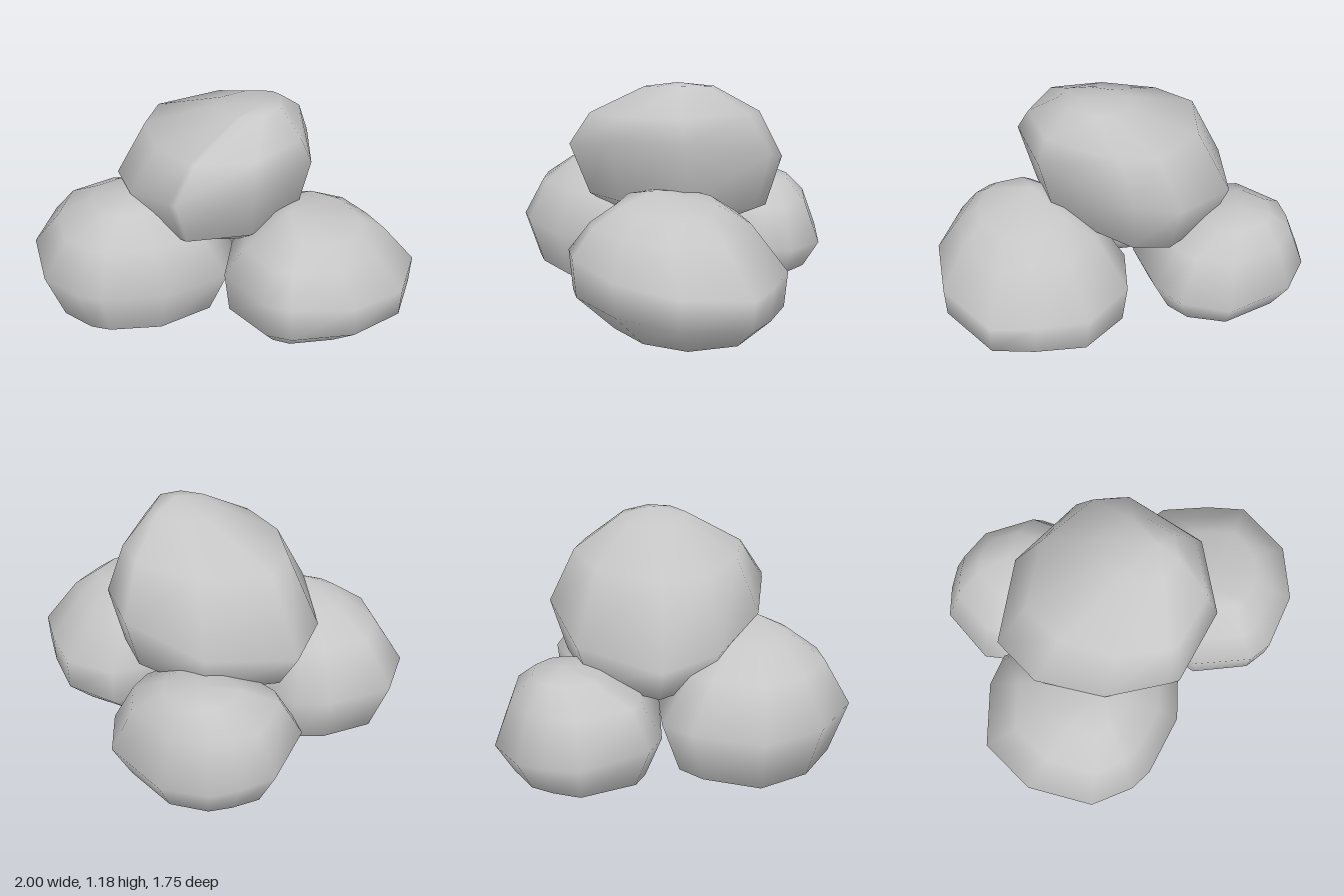
import * as THREE from 'three';

// Each rock: widest outline [x, z] (counter-clockwise from above), its centre, the
// bottom and top points [x, y, z], and levels from bottom to top:
// [scale, centreX, centreZ, y, slopeX, slopeZ]
const rocks = {
  frontRock: {
    centre: [-0.42, 0.42],
    outline: [[-1, 0.34], [-0.88, 0.64], [-0.61, 0.86], [-0.38, 0.87], [-0.26, 0.83], [0, 0.63], [0.16, 0.31],
      [0.08, 0.08], [-0.2, -0.05], [-0.55, -0.08], [-0.73, -0.09], [-0.86, 0.03]],
    levels: [[0.64, -0.36, 0.37, 0.01, 0, 0.03], [0.82, -0.42, 0.42, 0.06, 0, 0], [1, -0.42, 0.42, 0.33, -0.02, 0],
      [0.72, -0.4, 0.43, 0.54, 0, 0], [0.38, -0.39, 0.42, 0.66, 0.03, 0]],
    bottom: [-0.36, 0, 0.37], top: [-0.33, 0.73, 0.43],
  },
  backRock: {
    centre: [-0.46, -0.46],
    outline: [[-0.93, -0.49], [-0.83, -0.16], [-0.72, -0.09], [-0.3, -0.05], [-0.05, -0.2],
      [0.02, -0.5], [-0.02, -0.66], [-0.2, -0.84], [-0.57, -0.88], [-0.78, -0.77], [-0.86, -0.65]],
    levels: [[0.6, -0.46, -0.46, 0.01, 0, 0], [0.8, -0.46, -0.46, 0.04, 0, 0], [1, -0.46, -0.46, 0.23, 0, 0.08],
      [0.77, -0.47, -0.47, 0.43, 0, 0.02], [0.4, -0.49, -0.52, 0.53, 0, 0]],
    bottom: [-0.46, 0, -0.46], top: [-0.5, 0.56, -0.54],
  },
  sideRock: {
    centre: [0.52, -0.02],
    outline: [[1, -0.02], [0.92, -0.36], [0.73, -0.47], [0.48, -0.57], [0.19, -0.49], [0.06, -0.28],
      [0.05, 0.1], [0.2, 0.41], [0.5, 0.52], [0.63, 0.49], [0.88, 0.28]],
    levels: [[0.7, 0.46, -0.06, 0.01, 0, 0], [0.96, 0.53, -0.02, 0.16, 0.08, 0.1], [0.99, 0.52, -0.02, 0.35, 0, 0.12],
      [0.72, 0.5, 0.02, 0.54, 0, 0.02], [0.45, 0.52, 0.03, 0.64, -0.1, 0.04]],
    bottom: [0.46, 0.01, -0.06], top: [0.4, 0.68, 0.1],
  },
  topRock: {
    centre: [-0.13, -0.02],
    outline: [[-0.73, -0.09], [-0.63, 0.2], [-0.34, 0.45], [-0.03, 0.54], [0.02, 0.55], [0.33, 0.33],
      [0.43, -0.05], [0.17, -0.5], [-0.05, -0.59], [-0.47, -0.47]],
    levels: [[0.5, -0.1, -0.03, 0.42, 0.05, 0.05], [0.84, -0.12, -0.03, 0.5, 0.16, 0.08],
      [1, -0.13, -0.02, 0.76, 0.27, 0.06], [0.78, -0.06, -0.01, 1, 0.07, 0],
      [0.31, 0.08, -0.03, 1.15, 0.12, 0]],
    bottom: [-0.1, 0.39, -0.03], top: [0.16, 1.18, -0.02],
  },
};

// Skin the stacked outlines and close both ends
function rockGeometry({ centre, outline, levels, bottom, top }) {
  const n = outline.length, positions = [], index = [];
  for (const [s, cx, cz, y, sx, sz] of levels) {
    for (const [px, pz] of outline) {
      const dx = (px - centre[0]) * s, dz = (pz - centre[1]) * s;
      positions.push(cx + dx, y + sx * dx + sz * dz, cz + dz);
    }
  }
  positions.push(...bottom, ...top);
  const low = levels.length * n, high = low + 1, last = (levels.length - 1) * n;
  for (let j = 0; j < n; j++) {
    const k = (j + 1) % n;
    index.push(k, j, low, last + j, last + k, high);
    for (let r = 0; r < last; r += n) {
      index.push(r + j, r + k, r + n + k, r + j, r + n + k, r + n + j);
    }
  }
  const geometry = new THREE.BufferGeometry();
  geometry.setAttribute('position', new THREE.Float32BufferAttribute(positions, 3));
  geometry.setIndex(index);
  geometry.computeVertexNormals();
  return geometry;
}

export function createModel() {
  const group = new THREE.Group();
  group.name = 'rockPile';
  const stone = new THREE.MeshStandardMaterial({ color: 0xc6c6c6 });
  stone.name = 'stone grey';
  for (const [name, rock] of Object.entries(rocks)) {
    const mesh = new THREE.Mesh(rockGeometry(rock), stone);
    mesh.name = name;
    group.add(mesh);
  }
  return group;
}
